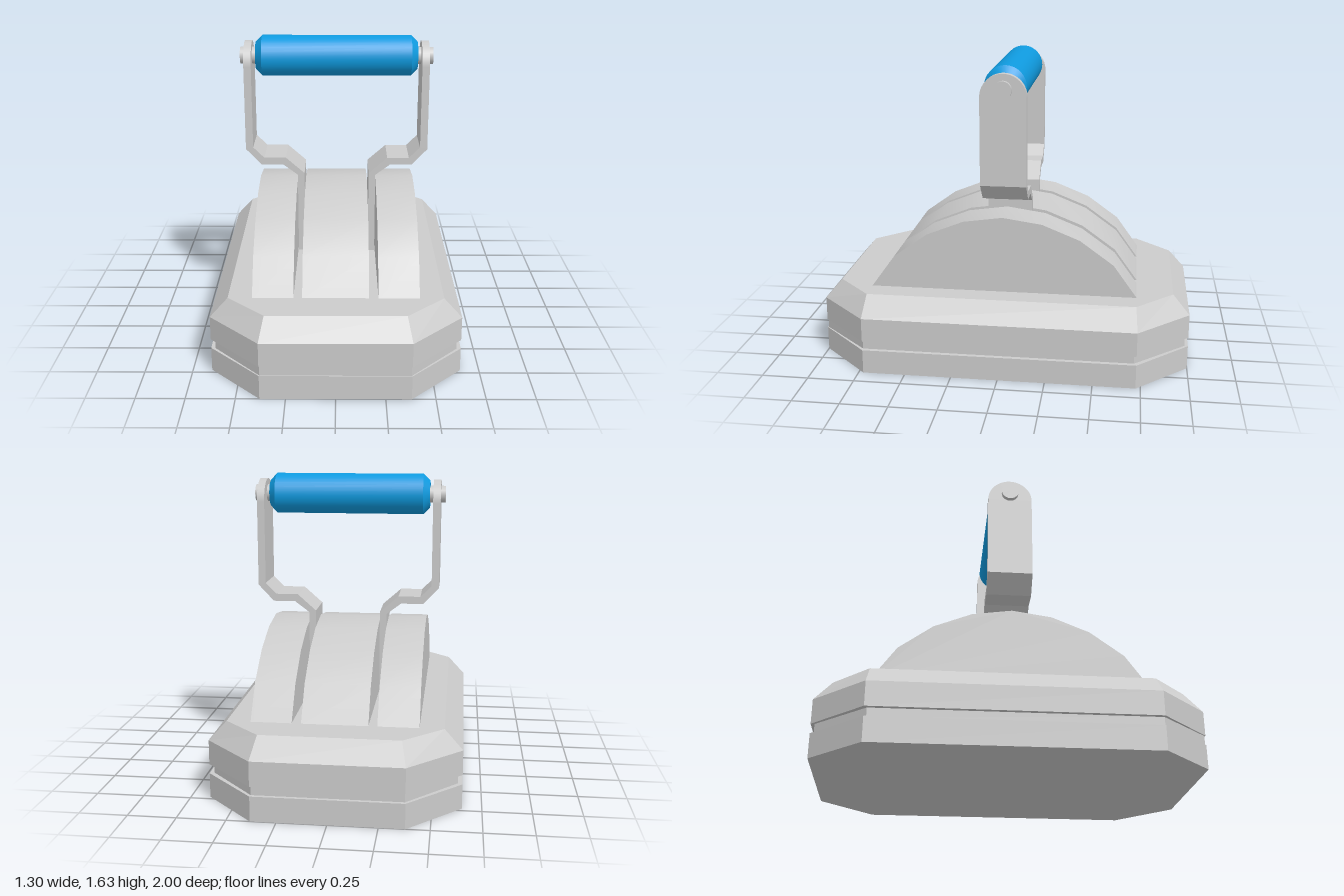
import * as THREE from 'three';
import { toCreasedNormals } from 'three/addons/utils/BufferGeometryUtils.js';

const grey = new THREE.MeshStandardMaterial({ color: 0xcccccc });
const blue = new THREE.MeshStandardMaterial({ color: 0x0f9be0 });
const HANDLE_Z = -0.015;
const GRIP_Y = 1.52;

function addMesh(parent, name, geometry, material = grey) {
  const mesh = new THREE.Mesh(geometry, material);
  mesh.name = name;
  parent.add(mesh);
  return mesh;
}

// Octagon ring: half width, half length and the corner cuts on each side
function octagon(y, w, l, cx, cz, dz = 0) {
  return [[w, -cz], [w, cz], [cx, l], [-cx, l], [-w, cz], [-w, -cz], [-cx, -l], [cx, -l]]
    .map(([x, z]) => [x, y, z + dz]);
}

// Flat-sided skin through a stack of rings, closed at both ends
function loft(rings) {
  const pos = [];
  const tri = (a, b, c) => pos.push(...a, ...b, ...c);
  const n = rings[0].length;
  for (let r = 0; r < rings.length - 1; r++) {
    for (let i = 0; i < n; i++) {
      const j = (i + 1) % n;
      const [lo, hi] = [rings[r], rings[r + 1]];
      tri(lo[i], hi[i], lo[j]);
      tri(lo[j], hi[i], hi[j]);
    }
  }
  const bottom = rings[0], top = rings[rings.length - 1];
  for (let i = 1; i < n - 1; i++) {
    tri(bottom[0], bottom[i], bottom[i + 1]);
    tri(top[0], top[i + 1], top[i]);
  }
  const geometry = new THREE.BufferGeometry();
  geometry.setAttribute('position', new THREE.Float32BufferAttribute(pos, 3));
  geometry.computeVertexNormals();
  return geometry;
}

function extrude(points, depth) {
  const shape = new THREE.Shape(points.map(([x, y]) => new THREE.Vector2(x, y)));
  return new THREE.ExtrudeGeometry(shape, { depth, bevelEnabled: false });
}

// Arched slab spanning x0..x1
function archSlab(x0, x1) {
  const half = [[0.72, 0.41], [0.59, 0.59], [0.41, 0.72], [0.21, 0.8]];
  const profile = [...half, [0, 0.83], ...half.map(([z, y]) => [-z, y]).reverse()];
  const geometry = extrude(profile, x1 - x0);
  geometry.rotateY(Math.PI / 2).translate(x0, 0, 0);
  return toCreasedNormals(geometry, 0.5);
}

// Bent strap with a rounded top and a pin, on one side
function addBracket(parent, side) {
  const bracket = new THREE.Group();
  bracket.name = side > 0 ? 'leftBracket' : 'rightBracket';
  const path = [
    [0.215, 0.4], [0.215, 0.87], [0.295, 0.93], [0.415, 0.93], [0.5, 1.02], [0.5, 1.48],
    [0.46, 1.48], [0.46, 1.03], [0.4, 0.97], [0.28, 0.97], [0.178, 0.88], [0.178, 0.4],
  ].map(([x, y]) => [x * side, y]);
  const strap = addMesh(bracket, 'strap', extrude(path, 0.24));
  strap.position.z = HANDLE_Z - 0.12;

  const cap = new THREE.CylinderGeometry(0.12, 0.12, 0.04, 20, 1, false, 0, Math.PI);
  cap.rotateZ(Math.PI / 2);
  addMesh(bracket, 'strapEnd', cap).position.set(0.48 * side, 1.48, HANDLE_Z);

  const pin = new THREE.CylinderGeometry(0.046, 0.046, 0.105, 24);
  pin.rotateZ(Math.PI / 2);
  addMesh(bracket, 'pin', pin).position.set(0.4725 * side, GRIP_Y, HANDLE_Z);
  parent.add(bracket);
}

export function createModel() {
  const model = new THREE.Group();
  model.name = 'weightWithHandle';

  // Octagonal base with a groove and a bevelled top
  const outer = (y) => octagon(y, 0.65, 1, 0.38, 0.725);
  const groove = (y) => octagon(y, 0.627, 0.988, 0.377, 0.72, 0.007);
  addMesh(model, 'base', loft([
    outer(0), outer(0.13), groove(0.13), groove(0.18),
    outer(0.18), outer(0.31), octagon(0.415, 0.555, 0.91, 0.355, 0.715),
  ]));

  // Three arched slabs with slots between them
  addMesh(model, 'rightArch', archSlab(-0.43, -0.218));
  addMesh(model, 'middleArch', archSlab(-0.173, 0.17));
  addMesh(model, 'leftArch', archSlab(0.218, 0.43));

  addBracket(model, 1);
  addBracket(model, -1);

  // Grip with chamfered ends
  const profile = [[0, -0.44], [0.075, -0.44], [0.11, -0.405], [0.11, 0.405], [0.075, 0.44], [0, 0.44]]
    .map(([r, y]) => new THREE.Vector2(r, y));
  const grip = toCreasedNormals(new THREE.LatheGeometry(profile, 32), 0.5);
  grip.rotateZ(Math.PI / 2);
  addMesh(model, 'grip', grip, blue).position.set(0, GRIP_Y, HANDLE_Z);

  return model;
}
